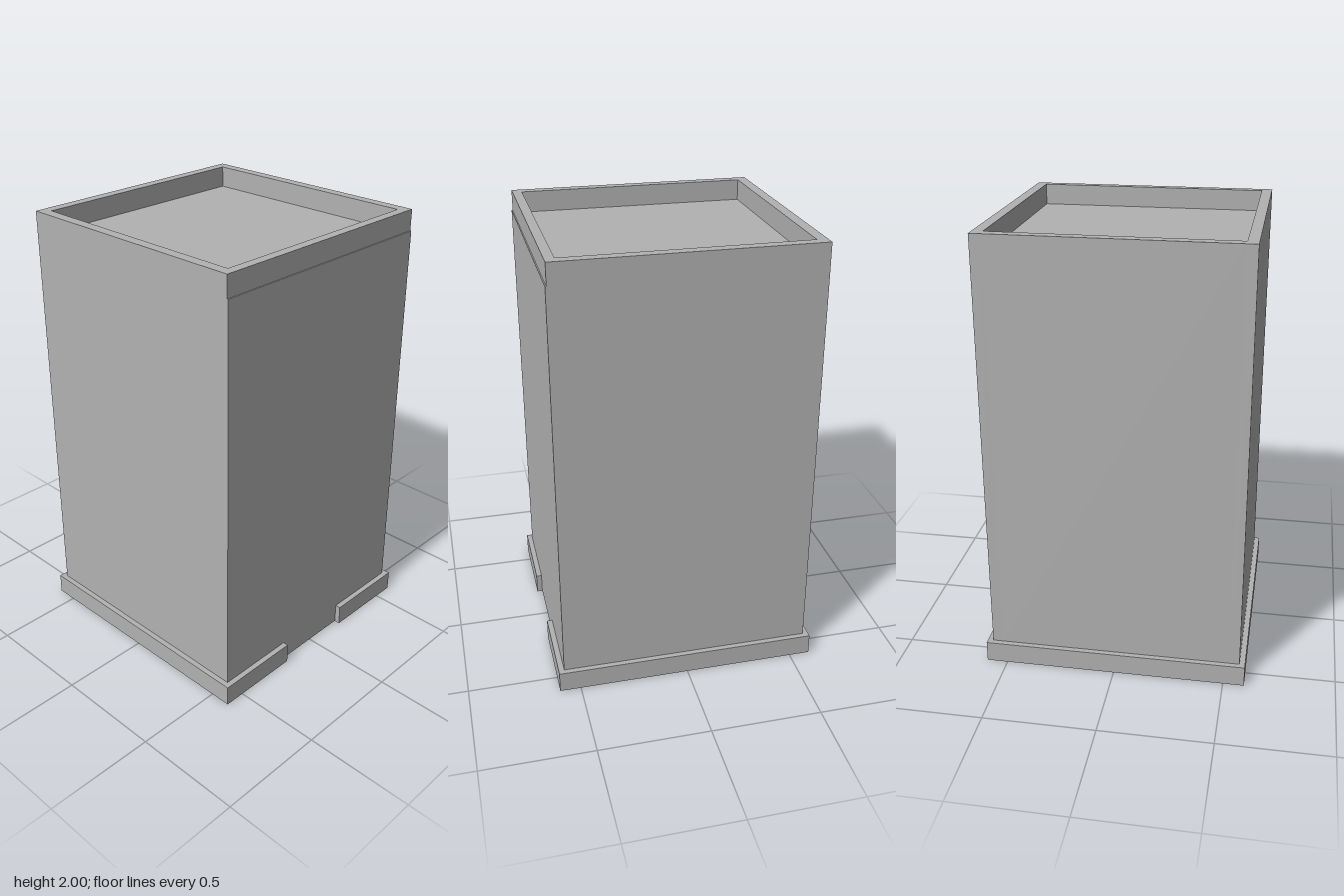
import * as THREE from 'three';

const HALF = 0.57;      // body half width
const BASE = 0.595;     // plinth half width
const WALL = 0.047;     // wall thickness
const STEP = 0.095;     // plinth and parapet height
const TOP = 2;
const ROOF = TOP - STEP;

export function createModel() {
  const grey = new THREE.MeshStandardMaterial({ color: 0xb2b2b2 });
  grey.name = 'concrete grey';
  const model = new THREE.Group();
  model.name = 'towerBlock';

  const add = (name, geometry) => {
    const mesh = new THREE.Mesh(geometry, grey);
    mesh.name = name;
    model.add(mesh);
    return mesh;
  };
  // Box given by its lower and upper corners
  const block = (name, [x0, y0, z0], [x1, y1, z1]) => {
    const mesh = add(name, new THREE.BoxGeometry(x1 - x0, y1 - y0, z1 - z0));
    mesh.position.set((x0 + x1) / 2, (y0 + y1) / 2, (z0 + z1) / 2);
  };

  // Plinth slab with an entrance recess cut into the front
  const notch = 0.193, notchBack = 0.185;
  const outline = [
    [-BASE, BASE], [-BASE, -BASE], [-notch, -BASE], [-notch, -notchBack],
    [notch, -notchBack], [notch, -BASE], [BASE, -BASE], [BASE, BASE],
  ].map(([x, y]) => new THREE.Vector2(x, y));
  const slab = new THREE.ExtrudeGeometry(new THREE.Shape(outline), { depth: STEP, bevelEnabled: false });
  slab.rotateX(-Math.PI / 2);
  add('plinth', slab);

  // Hollow body: side and back walls rise past the roof as a parapet
  const front = HALF - 0.005;
  const inner = HALF - WALL;
  block('rightWall', [-HALF, STEP, -HALF], [-inner, TOP, front]);
  block('leftWall', [inner, STEP, -HALF], [HALF, TOP, front]);
  block('backWall', [-inner, STEP, -HALF], [inner, TOP, -inner]);
  block('frontParapet', [-inner, ROOF, inner], [inner, TOP, front]);

  // Thin front face, slightly proud of the parapet and reaching the ground
  block('frontPanel', [-HALF, 0.002, front], [HALF, ROOF, HALF]);

  // Sunken flat roof
  block('roof', [-inner, ROOF - 0.04, -inner], [inner, ROOF, front]);

  return model;
}
